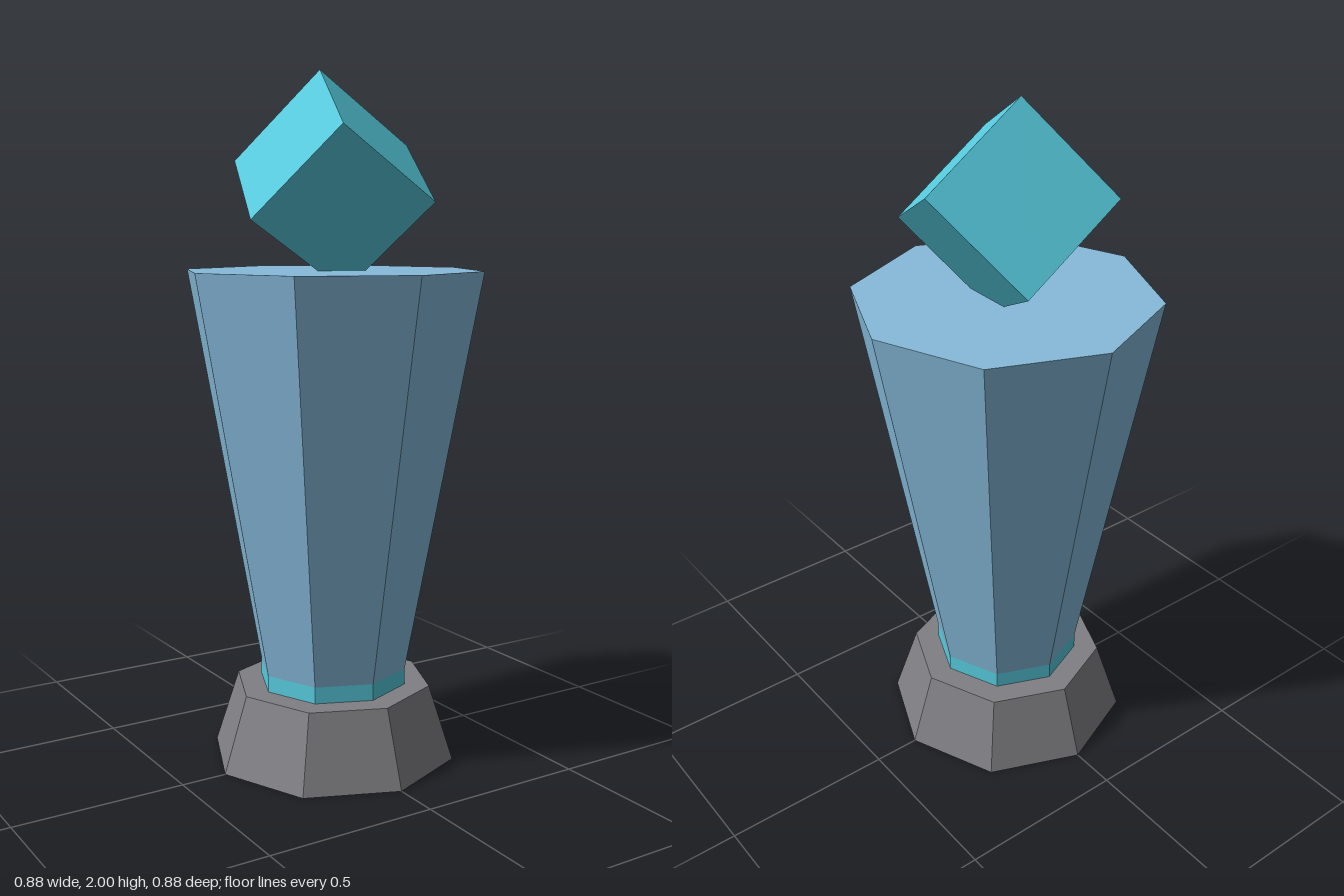
import * as THREE from 'three';

export function createModel() {
  const group = new THREE.Group();
  const stone = new THREE.MeshStandardMaterial({ color: 0x808084, flatShading: true });
  stone.name = 'grey stone';
  const blue = new THREE.MeshStandardMaterial({ color: 0x86bbdb, flatShading: true });
  blue.name = 'soft blue';
  const teal = new THREE.MeshStandardMaterial({ color: 0x56cadd, flatShading: true });
  teal.name = 'bright teal';

  // Octagonal frustum standing between two heights
  function frustum(name, topRadius, bottomRadius, y0, y1, material) {
    const geometry = new THREE.CylinderGeometry(topRadius, bottomRadius, y1 - y0, 8);
    const mesh = new THREE.Mesh(geometry, material);
    mesh.name = name;
    mesh.position.y = (y0 + y1) / 2;
    group.add(mesh);
  }

  frustum('base', 0.293, 0.365, 0, 0.22, stone);
  frustum('collar', 0.22, 0.22, 0.2, 0.27, teal);
  frustum('column', 0.438, 0.211, 0.22, 1.44, blue);

  // Tilted cube, its lowest corner sunk into the column top
  const cube = new THREE.Mesh(new THREE.BoxGeometry(0.364, 0.364, 0.364), teal);
  cube.name = 'cube';
  cube.position.set(0, 1.692, 0);
  cube.rotation.set(0.597, 0, -0.588, 'ZYX');
  group.add(cube);

  return group;
}
